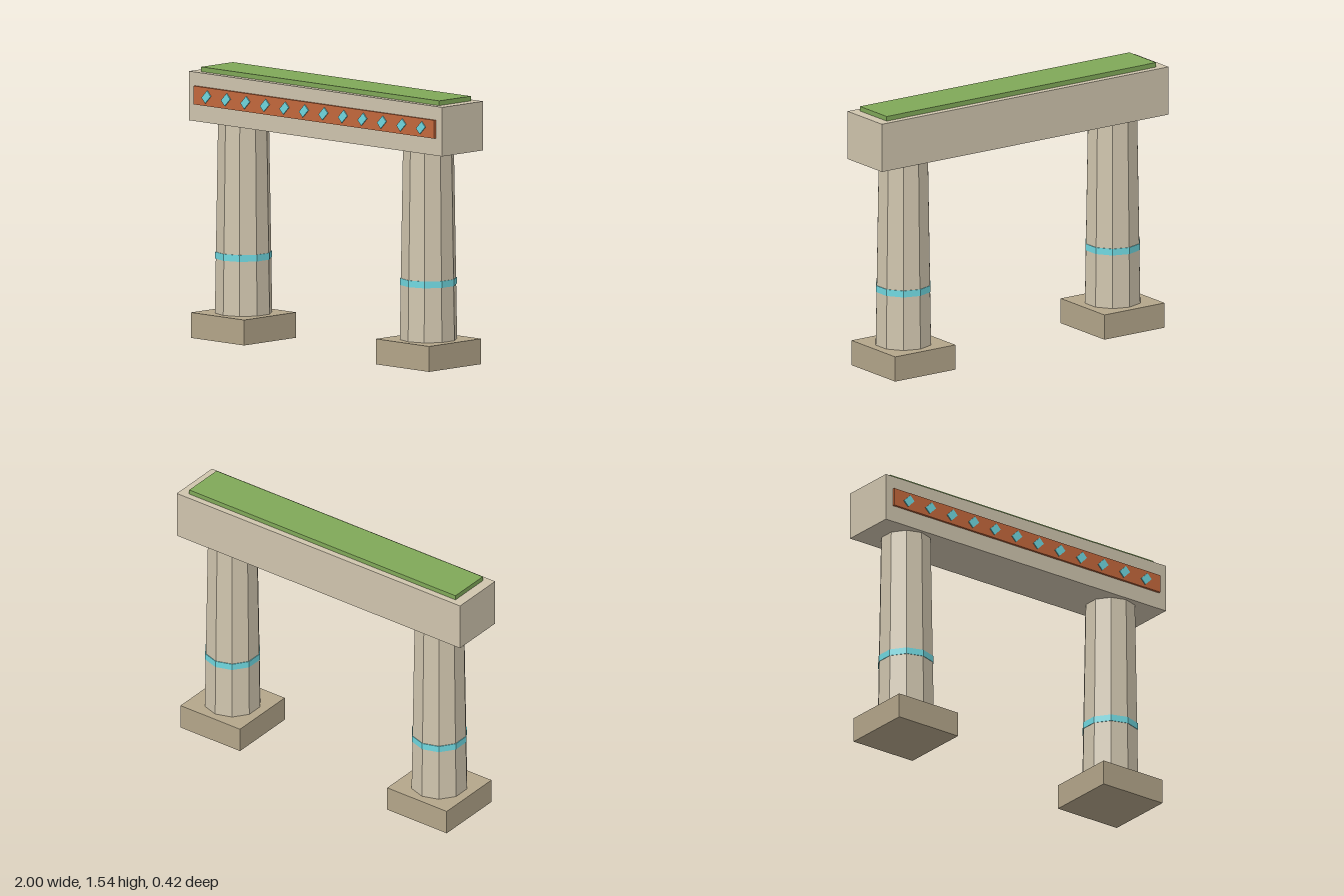
import * as THREE from 'three';

const paint = (color) => new THREE.MeshStandardMaterial({ color, flatShading: true });

export function createModel() {
  const model = new THREE.Group();
  model.name = 'gateway';

  const stone = paint(0xd0c5ae);
  const plinthStone = paint(0xb4a68a);
  const clay = paint(0xc4683c);
  const cyan = paint(0x70d8e0);
  const green = paint(0x80a858);

  function add(parent, name, geometry, material, x, y, z) {
    const mesh = new THREE.Mesh(geometry, material);
    mesh.name = name;
    mesh.position.set(x, y, z);
    parent.add(mesh);
    return mesh;
  }

  // Two tapered ten-sided pillars, each on a square plinth with a thin band
  const plinthGeo = new THREE.BoxGeometry(0.42, 0.145, 0.42);
  const shaftGeo = new THREE.CylinderGeometry(0.146, 0.164, 1.085, 10);
  const bandGeo = new THREE.CylinderGeometry(0.162, 0.162, 0.038, 10);
  for (const side of [1, -1]) {
    const pillar = new THREE.Group();
    pillar.name = side > 0 ? 'leftPillar' : 'rightPillar';
    pillar.position.x = side * 0.73;
    add(pillar, 'plinth', plinthGeo, plinthStone, 0, 0.0725, 0);
    add(pillar, 'shaft', shaftGeo, stone, 0, 0.6875, 0);
    add(pillar, 'band', bandGeo, cyan, 0, 0.475, 0);
    model.add(pillar);
  }

  // Lintel beam with a planted strip on top
  add(model, 'lintel', new THREE.BoxGeometry(2, 0.28, 0.33), stone, 0, 1.37, 0);
  add(model, 'grassStrip', new THREE.BoxGeometry(1.88, 0.04, 0.256), green, 0, 1.517, 0);

  // Front frieze with a row of tilted tiles
  const frieze = new THREE.Group();
  frieze.name = 'frieze';
  add(frieze, 'friezePanel', new THREE.BoxGeometry(1.9, 0.105, 0.02), clay, 0, 1.38, 0.168);
  const tileGeo = new THREE.BoxGeometry(0.062, 0.042, 0.02);
  const count = 12;
  for (let i = 0; i < count; i++) {
    const x = (i - (count - 1) / 2) * 0.154;
    add(frieze, 'friezeTile', tileGeo, cyan, x, 1.38, 0.174).rotation.z = Math.PI / 4;
  }
  model.add(frieze);

  return model;
}
